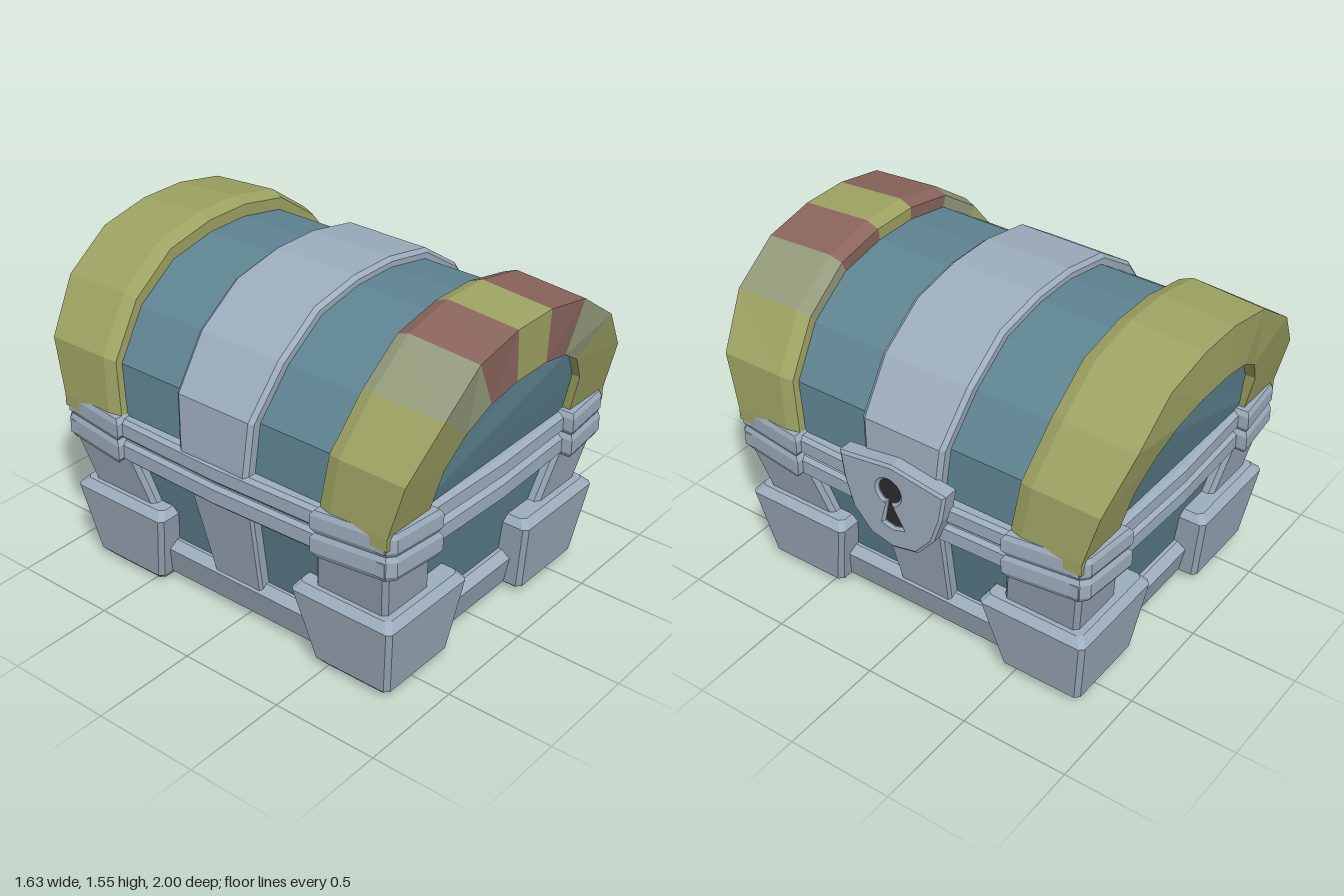
import * as THREE from 'three';

const IRON = 0x9dadbd, TEAL = 0x5f8492, OLIVE = 0x9ea363, RED = 0x8a655c, FADED = 0x949b7c, DARK = 0x2b2b2b;
const CX = -0.02; // chest axis; the lock makes up the rest of the width
const BASE = 0.86; // height where the lid starts

// Half arch of the lid, from the rim to the crown
const OUTER = [[0.77, 0.8], [0.77, 0.86], [0.75, 1.115], [0.583, 1.345], [0.363, 1.505], [0.115, 1.555]];
const INNER = [[0.495, 0.8], [0.495, 0.86], [0.475, 1.05], [0.383, 1.185], [0.258, 1.265], [0.1, 1.3]];
const fullArch = (half) => [...half.map(([x, y]) => [-x, y]), ...half.slice().reverse()];
const scaleArch = (arch, sx, sy) => arch.map(([x, y]) => [x * sx, BASE + (y - BASE) * sy]);

// Lid ends lean outward with height
const lean = (y) => THREE.MathUtils.clamp((y - BASE) / 0.45, 0, 1);
const zOuter = (y) => 0.885 + 0.115 * lean(y);
const zInner = (y) => 0.545 + 0.06 * lean(y);

// Capped solid through matching rings of [x, y, z] points, faces always outward
function loft(rings) {
  const tris = [], n = rings[0].length;
  for (let r = 0; r < rings.length - 1; r++) {
    for (let i = 0; i < n; i++) {
      const j = (i + 1) % n, a = rings[r], b = rings[r + 1];
      tris.push([a[i], a[j], b[j]], [a[i], b[j], b[i]]);
    }
  }
  [rings[0], rings[rings.length - 1]].forEach((ring, end) => {
    for (let i = 1; i < n - 1; i++) {
      tris.push(end ? [ring[0], ring[i], ring[i + 1]] : [ring[0], ring[i + 1], ring[i]]);
    }
  });
  let volume = 0;
  for (const [a, b, c] of tris) {
    volume += a[0] * (b[1] * c[2] - b[2] * c[1]) + a[1] * (b[2] * c[0] - b[0] * c[2]) + a[2] * (b[0] * c[1] - b[1] * c[0]);
  }
  if (volume < 0) tris.forEach((t) => t.reverse());
  const geo = new THREE.BufferGeometry();
  geo.setAttribute('position', new THREE.Float32BufferAttribute(tris.flat(2), 3));
  geo.computeVertexNormals();
  return geo;
}

// Horizontal ring: rectangle with cut corners
function rect(y, x0, x1, z0, z1, c = 0.02) {
  return [[x0 + c, z0], [x1 - c, z0], [x1, z0 + c], [x1, z1 - c], [x1 - c, z1], [x0 + c, z1], [x0, z1 - c], [x0, z0 + c]]
    .map(([x, z]) => [x, y, z]);
}

// Horizontal ring from a plan outline, drawn in toward its middle by a factor
function plan(y, pts, k = 1) {
  const mx = pts.reduce((s, p) => s + p[0], 0) / pts.length;
  const mz = pts.reduce((s, p) => s + p[1], 0) / pts.length;
  return pts.map(([x, z]) => [mx + (x - mx) * k, y, mz + (z - mz) * k]);
}

const mirror = (rings, sx, sz) => rings.map((ring) => ring.map(([x, y, z]) => [x * sx, y, z * sz]));

export function createModel() {
  const model = new THREE.Group();
  const chest = new THREE.Group();
  chest.name = 'chest';
  chest.position.x = CX;
  model.add(chest);

  const add = (name, geo, color, parent = chest) => {
    const mesh = new THREE.Mesh(geo, new THREE.MeshStandardMaterial({ color, flatShading: true }));
    mesh.name = name;
    parent.add(mesh);
    return mesh;
  };

  // Tapered body, base frame and the side straps
  add('body', loft([rect(0.06, -0.56, 0.56, -0.7, 0.7), rect(0.68, -0.69, 0.69, -0.82, 0.82)]), TEAL);
  add('baseFrame', loft([
    rect(0.04, -0.61, 0.61, -0.75, 0.75), rect(0.19, -0.65, 0.65, -0.79, 0.79), rect(0.225, -0.61, 0.61, -0.75, 0.75),
  ]), IRON);
  add('bodyStrap', loft([
    rect(0.1, -0.62, 0.62, -0.14, 0.115, 0.012), rect(0.68, -0.74, 0.74, -0.185, 0.165, 0.012),
  ]), IRON);

  // Rim in two halves with a thin gap, bowed slightly outward
  const rimPlan = [[-0.76, -0.87], [0, -0.895], [0.76, -0.87], [0.785, 0], [0.76, 0.87], [0, 0.895], [-0.76, 0.87], [-0.785, 0]];
  const cornerPlan = [[0.46, 0.53], [0.46, 0.93], [0.72, 0.905], [0.755, 0.875], [0.8, 0.53]];
  add('rimCore', loft([plan(0.66, rimPlan, 0.965), plan(0.85, rimPlan, 0.965)]), IRON);
  const halves = [['lower', 0.65, 0.75], ['upper', 0.76, 0.855]];
  for (const [half, y0, y1] of halves) {
    add(half + 'Rim', loft([
      plan(y0, rimPlan, 0.975), plan(y0 + 0.02, rimPlan), plan(y1 - 0.015, rimPlan), plan(y1, rimPlan, 0.975),
    ]), IRON);
  }

  // Corner posts, feet and rim corners
  for (const sx of [-1, 1]) {
    for (const sz of [-1, 1]) {
      const corner = (name, rings) => add(name, loft(mirror(rings, sx, sz)), IRON);
      corner('cornerPost', [rect(0.3, 0.36, 0.655, 0.43, 0.8), rect(0.67, 0.455, 0.745, 0.51, 0.87)]);
      corner('foot', [
        rect(0, 0.31, 0.645, 0.47, 0.8), rect(0.04, 0.265, 0.68, 0.44, 0.835),
        rect(0.385, 0.215, 0.738, 0.365, 0.887), rect(0.42, 0.24, 0.705, 0.39, 0.855),
      ]);
      for (const [half, y0, y1] of halves) {
        corner(half + 'RimCorner', [
          plan(y0 - 0.003, cornerPlan, 0.9), plan(y0 + 0.025, cornerPlan),
          plan(y1 - 0.01, cornerPlan), plan(y1 + 0.012, cornerPlan, 0.93),
        ]);
      }
    }
  }

  // Lid barrel, its end faces recessed inside the end bands
  const outer = fullArch(OUTER), inner = fullArch(INNER);
  const barrel = scaleArch(outer, 0.935, 0.885);
  add('lidBarrel', loft([-1, 1].map((s) => barrel.map(([x, y]) => [x, y, s * (zOuter(y) - 0.04)]))), TEAL);

  // Lid strap with chamfered edges, widening toward the crown
  const strapEdge = scaleArch(outer, 0.985, 0.92), strapTop = scaleArch(outer, 1.005, 0.943);
  const strapRing = (arch, side, inset) => arch.map(([x, y]) => [x, y, -0.01 + side * (0.19 + 0.035 * lean(y) - inset)]);
  add('lidStrap', loft([
    strapRing(barrel, -1, 0), strapRing(strapEdge, -1, 0), strapRing(strapTop, -1, 0.02),
    strapRing(strapTop, 1, 0.02), strapRing(strapEdge, 1, 0), strapRing(barrel, 1, 0),
  ]), IRON);

  // End bands, one wedge at a time; the front one is painted
  const bevel = scaleArch(outer, 0.98, 0.965), rimEdge = scaleArch(outer, 0.99, 0.965), under = scaleArch(outer, 0.9, 0.85);
  const paint = [OLIVE, OLIVE, OLIVE, FADED, RED, OLIVE, RED, FADED, OLIVE, OLIVE, OLIVE];
  for (const s of [-1, 1]) {
    const band = new THREE.Group();
    band.name = s > 0 ? 'frontLidBand' : 'backLidBand';
    chest.add(band);
    const section = (i) => {
      const y = outer[i][1], zo = zOuter(y), zi = zInner(y);
      return [
        [...rimEdge[i], zo], [...outer[i], zi + 0.06], [...bevel[i], zi], [...under[i], zi],
        [...inner[i], zOuter(inner[i][1]) - 0.1], [...inner[i], zOuter(inner[i][1])],
      ].map(([x, py, z]) => [x, py, z * s]);
    };
    for (let i = 0; i < outer.length - 1; i++) {
      add('bandWedge', loft([section(i), section(i + 1)]), s > 0 ? paint[i] : OLIVE, band);
    }
  }

  // Lock plate with a keyhole, on the left side
  const lock = new THREE.Group();
  lock.name = 'lock';
  lock.rotation.y = Math.PI / 2;
  model.add(lock);
  const shield = new THREE.Shape([
    [-0.25, 0.935], [-0.235, 0.82], [-0.195, 0.69], [-0.11, 0.595], [0, 0.568],
    [0.12, 0.595], [0.2, 0.69], [0.245, 0.82], [0.265, 0.935], [0.005, 0.972],
  ].map(([x, y]) => new THREE.Vector2(x, y)));
  const keyhole = new THREE.Path();
  keyhole.moveTo(-0.055, 0.67);
  keyhole.lineTo(-0.025, 0.785);
  keyhole.absarc(-0.01, 0.845, 0.07, Math.PI * 1.4, Math.PI * 1.6, true);
  keyhole.lineTo(0.07, 0.675);
  keyhole.lineTo(0.01, 0.655);
  keyhole.closePath();
  shield.holes.push(keyhole);
  const plate = add('lockPlate', new THREE.ExtrudeGeometry(shield, {
    depth: 0.065, bevelThickness: 0.01, bevelSize: 0.013, bevelSegments: 1, curveSegments: 8,
  }), IRON, lock);
  plate.position.z = 0.735;
  const back = add('keyholeBack', new THREE.BoxGeometry(0.2, 0.3, 0.02), DARK, lock);
  back.position.set(0, 0.79, 0.785);

  return model;
}
